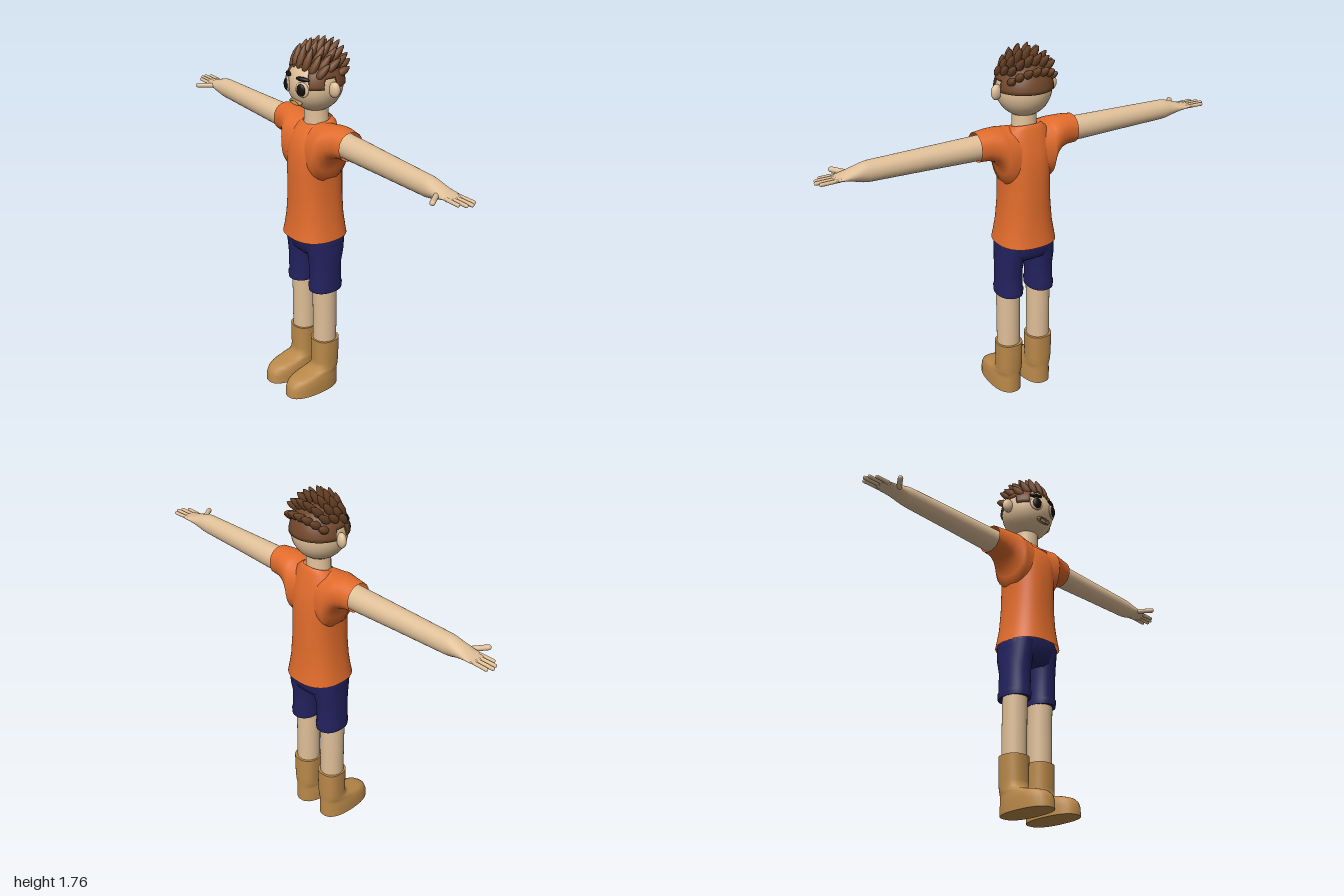
import * as THREE from 'three';

const mat = (name, color, side = THREE.FrontSide) => {
  const m = new THREE.MeshStandardMaterial({ color, side });
  m.name = name;
  return m;
};

// Smooth skin through superellipse rings: [t, a0, a1, b0, b1].
// axis 'y': t = y, a = x, b = z.  axis 'x': t = x, a = y, b = z.
function loft(axis, rows, power = 2, side = 1, n = 32) {
  const pos = [], idx = [];
  const sp = v => Math.sign(v) * Math.pow(Math.abs(v), 2 / power);
  rows.forEach(([t, a0, a1, b0, b1], j) => {
    for (let i = 0; i < n; i++) {
      const w = (i / n) * Math.PI * 2;
      const a = (a0 + a1) / 2 + ((a1 - a0) / 2) * sp(Math.cos(w));
      const b = (b0 + b1) / 2 + ((b1 - b0) / 2) * sp(Math.sin(w));
      if (axis === 'y') pos.push(a * side, t, b);
      else pos.push(t * side, a, b);
    }
    // a repeated ring makes a sharp edge
    if (j === 0 || rows[j - 1].every((v, k) => v === rows[j][k])) return;
    for (let i = 0; i < n; i++) {
      const p = (j - 1) * n + i, q = (j - 1) * n + ((i + 1) % n);
      const r = p + n, s = q + n;
      if ((axis === 'x') === (side > 0)) idx.push(p, q, r, q, s, r);
      else idx.push(p, r, q, q, r, s);
    }
  });
  const g = new THREE.BufferGeometry();
  g.setAttribute('position', new THREE.Float32BufferAttribute(pos, 3));
  g.setIndex(idx);
  g.computeVertexNormals();
  return g;
}

export function createModel() {
  const model = new THREE.Group();
  model.name = 'figure';
  const skin = mat('skin', 0xdfbf98), shirt = mat('orange cloth', 0xe26c2c, THREE.DoubleSide);
  const navy = mat('navy cloth', 0x23225f), leather = mat('tan leather', 0xbb8a4a);
  const brown = mat('brown hair', 0x70472a), black = mat('black', 0x120e0c);
  const lip = mat('lip', 0xa98350);

  const add = (name, geometry, material) => {
    const m = new THREE.Mesh(geometry, material);
    m.name = name;
    model.add(m);
    return m;
  };
  const blob = (name, material, [x, y, z], [rx, ry, rz], yaw = 0, roll = 0) => {
    const m = add(name, new THREE.SphereGeometry(1, 32, 20), material);
    m.position.set(x, y, z);
    m.scale.set(rx, ry, rz);
    m.rotation.set(0, yaw, roll);
    return m;
  };
  const UP = new THREE.Vector3(0, 1, 0);
  const finger = (name, from, to, r) => {
    const a = new THREE.Vector3(...from), d = new THREE.Vector3(...to).sub(a);
    const m = add(name, new THREE.CapsuleGeometry(r, d.length() - r, 5, 12), skin);
    m.position.copy(a).addScaledVector(d, 0.5);
    m.quaternion.setFromUnitVectors(UP, d.normalize());
  };

  // Shirt body, with the neckline tilted lower at the front
  const torso = loft('y', [
    [0.82, -0.145, 0.145, -0.17, 0.112], [0.85, -0.139, 0.139, -0.165, 0.106],
    [0.92, -0.126, 0.126, -0.157, 0.098], [1.02, -0.117, 0.117, -0.153, 0.094],
    [1.13, -0.114, 0.114, -0.153, 0.097], [1.22, -0.118, 0.118, -0.148, 0.094],
    [1.28, -0.12, 0.12, -0.14, 0.082], [1.33, -0.115, 0.115, -0.125, 0.06],
    [1.365, -0.1, 0.1, -0.112, 0.038], [1.385, -0.078, 0.078, -0.1, 0.022],
    [1.388, -0.066, 0.066, -0.096, 0.018]], 2.4, 1, 48);
  const tp = torso.attributes.position;
  for (let i = 0; i < tp.count; i++) {
    if (tp.getY(i) > 1.36) tp.setY(i, tp.getY(i) - (tp.getZ(i) + 0.038) * 0.25);
  }
  torso.computeVertexNormals();
  add('shirtBody', torso, shirt);

  // Shorts seat
  add('shortsSeat', loft('y', [
    [0.725, -0.02, 0.02, -0.05, -0.01], [0.728, -0.09, 0.09, -0.1, 0.045],
    [0.745, -0.13, 0.13, -0.125, 0.06], [0.78, -0.14, 0.14, -0.142, 0.073],
    [0.83, -0.14, 0.14, -0.143, 0.084], [0.9, -0.11, 0.11, -0.13, 0.07]], 2.6), navy);

  // Neck and upper chest showing in the neckline
  add('neck', loft('y', [
    [1.3, -0.08, 0.08, -0.1, 0.025], [1.355, -0.07, 0.07, -0.098, 0.022],
    [1.38, -0.057, 0.057, -0.093, 0.02], [1.46, -0.055, 0.055, -0.09, 0.02]]), skin);

  // Head
  const HY = 1.557, HZ = -0.03;
  blob('head', skin, [0, HY, HZ], [0.128, 0.128, 0.126]);
  const mouth = add('mouth', new THREE.TorusGeometry(0.032, 0.01, 12, 32), lip);
  mouth.position.set(0, 1.486, 0.077);
  mouth.scale.set(1, 0.35, 1);
  mouth.rotation.x = 0.35;

  for (const s of [1, -1]) {
    const side = s > 0 ? 'left' : 'right';

    // Face
    blob(side + 'Ear', skin, [s * 0.138, 1.557, -0.032], [0.028, 0.036, 0.02], s * 0.3);
    blob(side + 'EyeRim', skin, [s * 0.055, 1.557, 0.083], [0.033, 0.035, 0.01], s * 0.4);
    blob(side + 'Eye', black, [s * 0.055, 1.557, 0.089], [0.023, 0.028, 0.011], s * 0.35);
    blob(side + 'Eyebrow', black, [s * 0.054, 1.604, 0.078], [0.034, 0.01, 0.011], s * 0.45, -s * 0.06);

    // Sleeve, blending into the chest
    add(side + 'Sleeve', loft('x', [
      [0.05, 1.1, 1.383, -0.13, 0.075], [0.112, 1.12, 1.388, -0.136, 0.08],
      [0.122, 1.17, 1.39, -0.133, 0.074], [0.14, 1.215, 1.392, -0.127, 0.06],
      [0.165, 1.242, 1.394, -0.12, 0.046], [0.2, 1.254, 1.395, -0.11, 0.033],
      [0.25, 1.256, 1.39, -0.104, 0.026]], 2.2, s), shirt);

    // Arm tapering into a flat palm
    add(side + 'Arm', loft('x', [
      [0.15, 1.262, 1.378, -0.1, 0.018], [0.3, 1.263, 1.375, -0.096, 0.015],
      [0.5, 1.267, 1.371, -0.088, 0.01], [0.76, 1.272, 1.366, -0.081, 0.005],
      [0.785, 1.276, 1.362, -0.08, 0.003], [0.84, 1.293, 1.344, -0.081, 0.004],
      [0.885, 1.307, 1.329, -0.086, 0.003], [0.915, 1.311, 1.324, -0.085, 0],
      [0.925, 1.317, 1.318, -0.07, -0.015]], 2, s), skin);
    [[0.968, -0.008], [0.992, -0.03], [1.0, -0.053], [0.985, -0.076]].forEach(([tip, z], k) =>
      finger(side + 'Finger' + (k + 1), [s * 0.89, 1.318, z * 0.95], [s * (tip - 0.004), 1.318, z], 0.0085));
    finger(side + 'Thumb', [s * 0.835, 1.318, -0.012], [s * 0.888, 1.318, 0.062], 0.012);

    // Shorts leg with a cuff
    add(side + 'ShortsLeg', loft('y', [
      [0.55, 0.03, 0.136, -0.08, 0.025],
      [0.546, 0.02, 0.146, -0.113, 0.052], [0.546, 0.02, 0.146, -0.113, 0.052],
      [0.575, 0.018, 0.148, -0.116, 0.055], [0.583, 0.022, 0.144, -0.111, 0.05],
      [0.68, 0.021, 0.143, -0.11, 0.052], [0.74, 0.016, 0.142, -0.126, 0.06],
      [0.82, 0.01, 0.138, -0.138, 0.075]], 2.2, s), navy);

    // Bare leg
    add(side + 'Leg', loft('y', [
      [0.2, 0.027, 0.139, -0.086, 0.028], [0.35, 0.026, 0.14, -0.087, 0.029],
      [0.45, 0.026, 0.14, -0.086, 0.03], [0.6, 0.025, 0.141, -0.084, 0.034]], 2, s), skin);

    // Boot: flat sole, rounded toe, straight shaft
    add(side + 'Boot', loft('y', [
      [0, 0.08, 0.082, 0.04, 0.042], [0, 0.012, 0.154, -0.092, 0.195],
      [0, 0.012, 0.154, -0.092, 0.195], [0.04, 0.012, 0.154, -0.092, 0.193],
      [0.065, 0.014, 0.152, -0.092, 0.183], [0.08, 0.017, 0.149, -0.092, 0.165],
      [0.09, 0.019, 0.147, -0.092, 0.135], [0.098, 0.02, 0.146, -0.092, 0.1],
      [0.107, 0.021, 0.145, -0.092, 0.06], [0.12, 0.022, 0.144, -0.093, 0.038],
      [0.15, 0.021, 0.145, -0.095, 0.034], [0.27, 0.019, 0.147, -0.097, 0.036],
      [0.27, 0.019, 0.147, -0.097, 0.036], [0.27, 0.03, 0.136, -0.08, 0.025]], 2.4, s), leather);
  }

  // Hair cap: dome whose lower edge follows forehead, sideburn, ear and nape
  const hairline = az => {
    if (az < 36) return 0.092;
    if (az < 42) return 0.092 - ((az - 36) / 6) * 0.088;
    if (az < 71) return 0.004;
    if (az < 99) return 0.05;
    return 0.004;
  };
  const cap = new THREE.SphereGeometry(1, 90, 14, 0, Math.PI * 2, 0, Math.PI / 2);
  const cp = cap.attributes.position, cu = cap.attributes.uv;
  for (let i = 0; i < cp.count; i++) {
    const phi = cu.getX(i) * Math.PI * 2, t = Math.min(1, (1 - cu.getY(i)) * (14 / 13));
    const dx = -Math.cos(phi), dz = Math.sin(phi);
    const az = THREE.MathUtils.radToDeg(Math.atan2(Math.abs(dx), dz));
    const R = cu.getY(i) < 0.01 ? 0.122 : 0.135;
    const th = t * Math.acos(hairline(az) / 0.135);
    cp.setXYZ(i, dx * Math.sin(th) * R, Math.cos(th) * R, dz * Math.sin(th) * R);
  }
  cap.computeVertexNormals();
  add('hairCap', cap, brown).position.set(0, HY, HZ);

  // Rows of tufts swept up and back
  const tuft = new THREE.LatheGeometry([[0, -0.022], [0.01, -0.016], [0.017, 0], [0.019, 0.03],
    [0.014, 0.065], [0.006, 0.09], [0, 0.1]].map(p => new THREE.Vector2(...p)), 10);
  const rad = THREE.MathUtils.degToRad;
  [48, 68, 90, 114, 138].forEach((a, row) => {
    for (let k = -3; k <= 3; k++) {
      const b = rad((k + (row % 2) * 0.5) * 17);
      if (Math.abs(b) > 1) continue;
      const n = new THREE.Vector3(Math.sin(b), Math.cos(b) * Math.sin(rad(a)), Math.cos(b) * Math.cos(rad(a)));
      const dir = new THREE.Vector3(n.x * 0.4, n.y + 0.6 * Math.cos(b), n.z - 1.1).normalize();
      const m = add('hairTuft', tuft, brown);
      m.position.copy(n).multiplyScalar(0.127).add(new THREE.Vector3(0, HY, HZ));
      m.quaternion.setFromUnitVectors(UP, dir);
      m.scale.set(1, (row > 3 ? 0.72 : 0.95) * (0.4 + 0.6 * Math.cos(b)), 1);
    }
  });

  return model;
}
